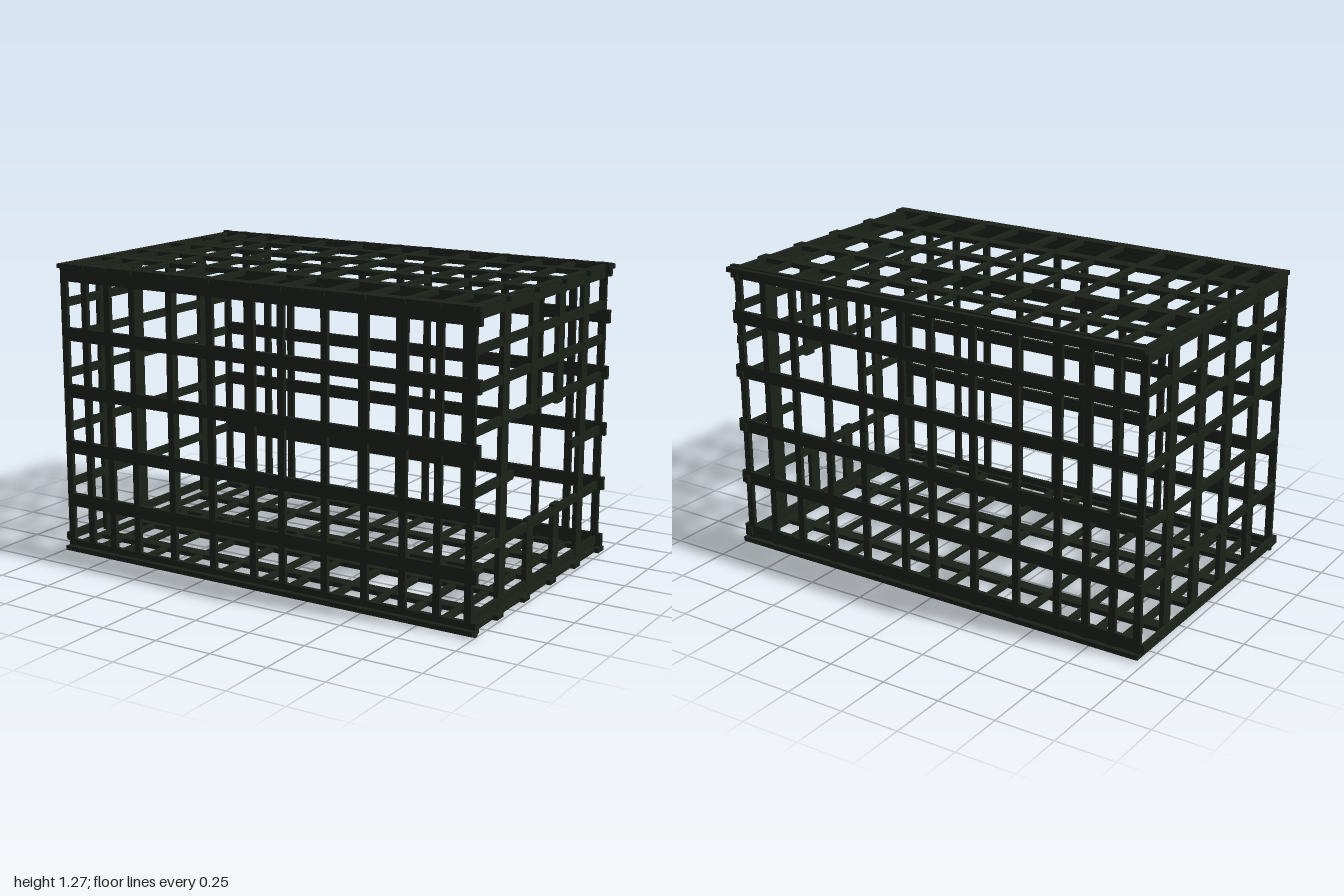
import * as THREE from 'three';

const material = new THREE.MeshStandardMaterial({ color: 0x1b2119 });
const T = 0.018; // stick thickness
const P = 0.02; // plank thickness
const STICK = 0.03;
const PLANK = 0.055;

// Box given by its [min, max] range on each axis
function bar(group, name, x, y, z) {
  const mesh = new THREE.Mesh(
    new THREE.BoxGeometry(x[1] - x[0], y[1] - y[0], z[1] - z[0]), material);
  mesh.position.set((x[0] + x[1]) / 2, (y[0] + y[1]) / 2, (z[0] + z[1]) / 2);
  mesh.name = name;
  group.add(mesh);
}

const around = (c, size) => [c - size / 2, c + size / 2];

// Cross sticks are spaced the same way on all four long panels
const stickX = [-0.96, -0.85, -0.73, -0.6, -0.41, -0.21, -0.01, 0.13, 0.33, 0.51, 0.68, 0.83, 0.965];
const lengthX = [-0.97, 1];

// Long lattice panel: planks along x, sticks across; upright (front, back) or flat (top, bottom)
function longPanel(name, upright, depth, span, planks) {
  const group = new THREE.Group();
  group.name = name;
  const place = (part, x, across, thickness) => {
    const d = around(depth, thickness);
    bar(group, part, x, upright ? across : d, upright ? d : across);
  };
  for (const c of planks) place('plank', lengthX, around(c, PLANK), P);
  for (const x of stickX) place('stick', around(x, STICK), span, T);
  return group;
}

const endStickY = [0.06, 0.305, 0.55, 0.785, 0.945, 1.09, 1.22];
const endPlankZ = [0.335, 0.09, -0.155, -0.39];
const endZ = [-0.605, 0.585];
const endY = [0.035, 1.24];

// End panel: upright planks, level sticks, with an optional square opening
function endPanel(name, x, opening, lowStickX) {
  const group = new THREE.Group();
  group.name = name;
  const split = (range, hole) => [[range[0], hole[0]], [hole[1], range[1]]];
  for (const z of endPlankZ) {
    const cut = opening && z > opening.z[0] && z < opening.z[1];
    for (const y of cut ? split(endY, opening.y) : [endY])
      bar(group, 'plank', around(x, P), y, around(z, PLANK));
  }
  for (const y of endStickY) {
    const cut = opening && y > opening.y[0] && y < opening.y[1];
    const sx = y < 0.1 ? lowStickX : x;
    for (const z of cut ? split(endZ, opening.z) : [endZ])
      bar(group, 'stick', around(sx, T), around(y, 0.035), z);
  }
  return group;
}

export function createModel() {
  const cage = new THREE.Group();
  cage.name = 'cage';
  cage.add(
    longPanel('frontPanel', true, 0.587, [0, 1.24], [0.028, 0.235, 0.47, 0.715, 0.96, 1.212]),
    longPanel('backPanel', true, -0.585, [0.03, 1.267], [0.062, 0.315, 0.555, 0.8, 1.04, 1.238]),
    longPanel('topPanel', false, 1.25, [-0.62, 0.615], [-0.593, -0.395, -0.16, 0.085, 0.33, 0.582]),
    longPanel('bottomPanel', false, 0.02, [-0.61, 0.622], [-0.582, -0.335, -0.095, 0.15, 0.385, 0.593]),
    // The bottom stick of this end sits on the outside
    endPanel('rightEndPanel', -0.972, null, -0.991),
    // End with a hatch opening in the middle
    endPanel('leftEndPanel', 0.967, { y: [0.335, 0.755], z: [-0.29, 0.25] }, 0.967),
  );
  return cage;
}
